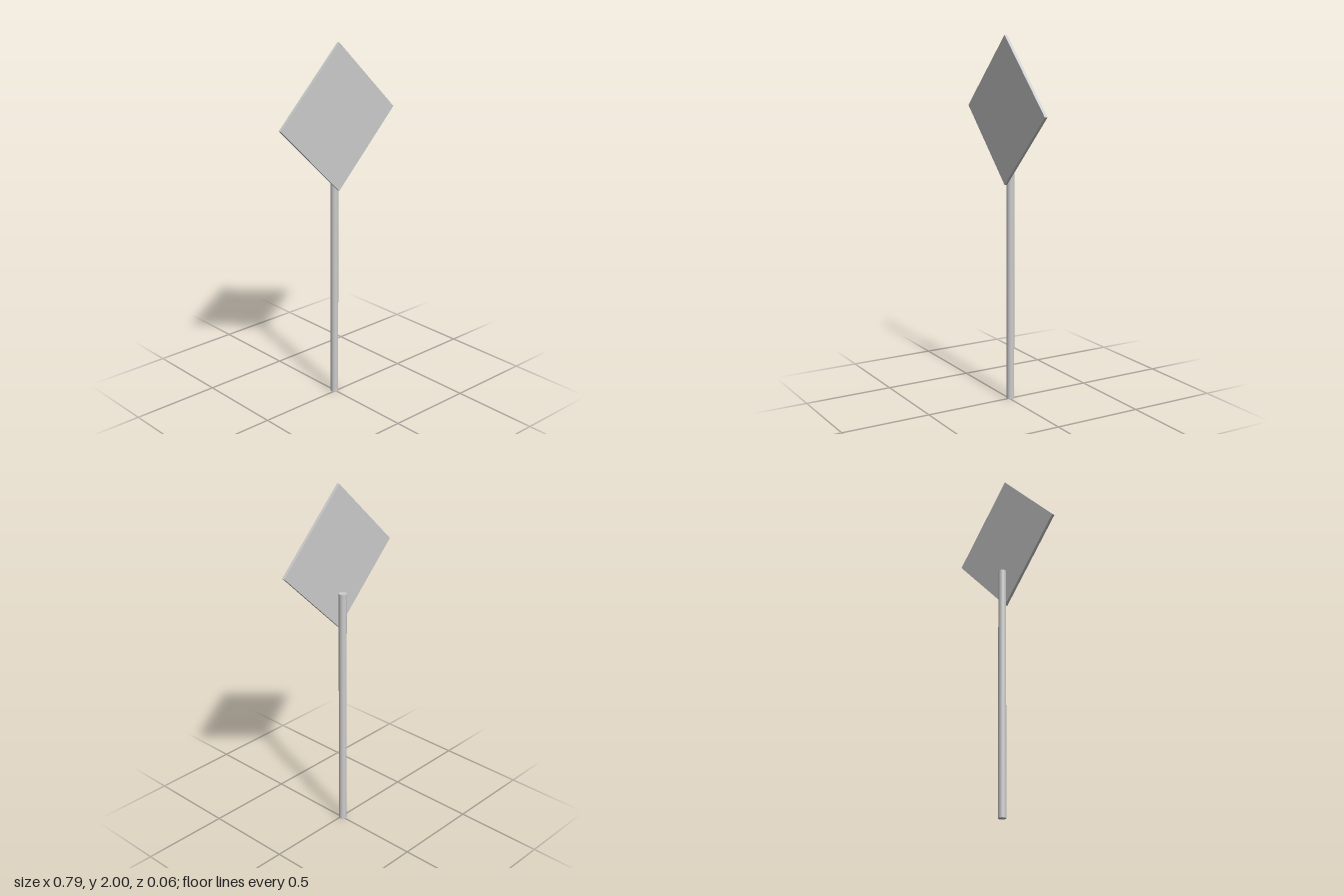
import * as THREE from 'three';

export function createModel() {
  const group = new THREE.Group();
  const material = new THREE.MeshStandardMaterial({ color: 0xcccccc });

  const add = (name, geometry, x, y, z) => {
    const mesh = new THREE.Mesh(geometry, material);
    mesh.name = name;
    mesh.position.set(x, y, z);
    group.add(mesh);
    return mesh;
  };

  // Round post standing on the ground, behind the plate
  const postHeight = 1.408;
  add('post', new THREE.CylinderGeometry(0.0215, 0.0215, postHeight, 32), -0.002, postHeight / 2, -0.008);

  // Square sign plate turned on its corner, touching the front of the post
  const halfDiagonal = 0.397;
  const side = halfDiagonal * Math.SQRT2;
  const plate = add('signPlate', new THREE.BoxGeometry(side, side, 0.016), 0, 2 - halfDiagonal, 0.0215);
  plate.rotation.z = Math.PI / 4;

  return group;
}
